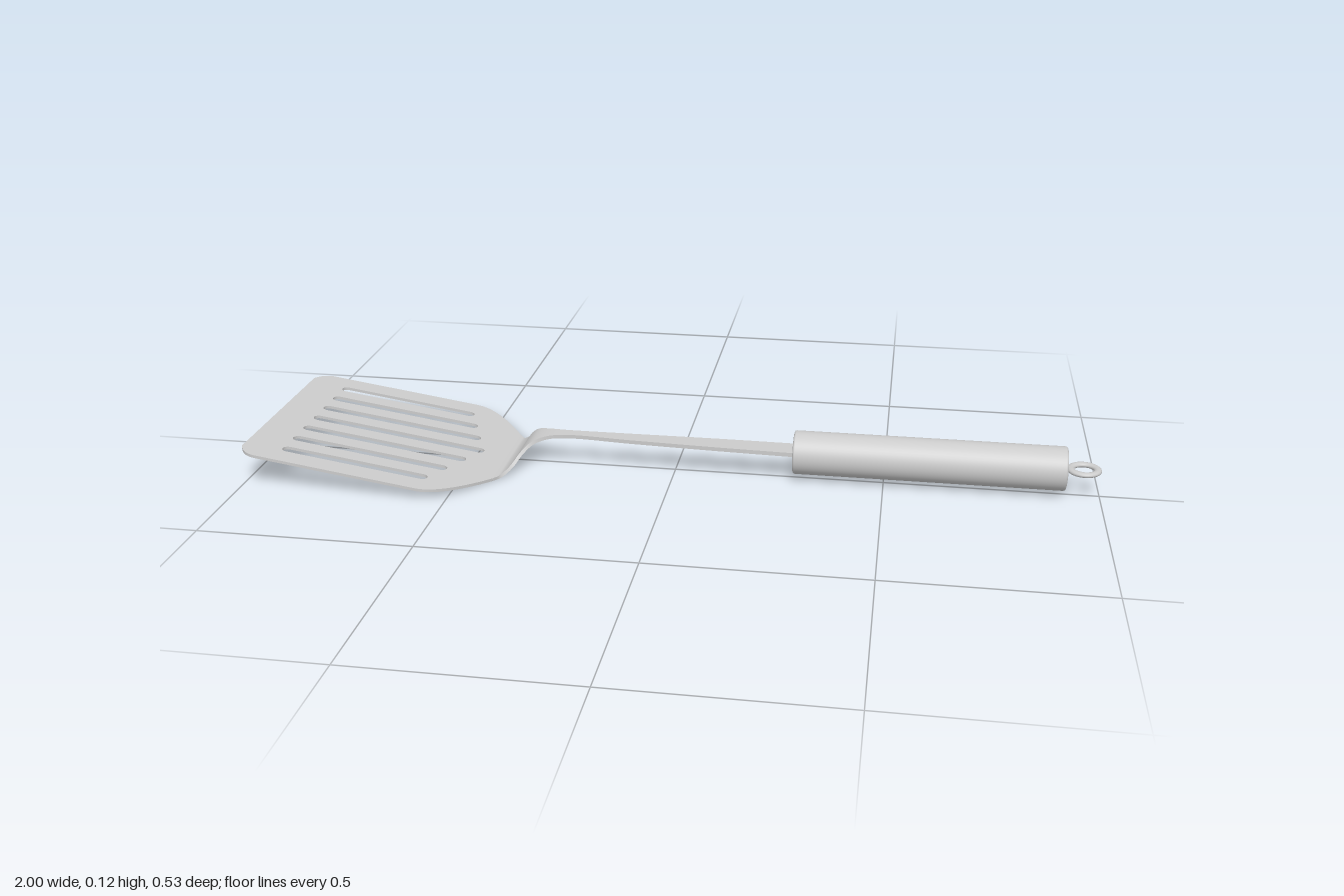
import * as THREE from 'three';

const T = 0.007; // sheet thickness
const JOIN = -0.42; // where the flat blade meets the bent neck
const HALF = 0.267; // half width of the blade

export function createModel() {
  const group = new THREE.Group();
  const metal = new THREE.MeshStandardMaterial({ color: 0xcccccc, side: THREE.DoubleSide });
  const add = (name, geometry, x = 0, y = 0) => {
    const mesh = new THREE.Mesh(geometry, metal);
    mesh.name = name;
    mesh.position.set(x, y, 0);
    group.add(mesh);
    return mesh;
  };

  // Blade: rounded outline with seven long slots, tilted up towards its front edge
  const outline = new THREE.Shape();
  outline.moveTo(JOIN, -0.137);
  outline.lineTo(JOIN, 0.137);
  outline.quadraticCurveTo(-0.511, HALF, -0.57, HALF);
  outline.lineTo(-0.955, HALF);
  outline.quadraticCurveTo(-0.985, HALF, -1, 0.23);
  outline.lineTo(-1, -0.23);
  outline.quadraticCurveTo(-0.985, -HALF, -0.955, -HALF);
  outline.lineTo(-0.57, -HALF);
  outline.quadraticCurveTo(-0.511, -HALF, JOIN, -0.137);

  const r = 0.0135;
  const slotEnds = [-0.478, -0.505, -0.532, -0.56];
  for (let i = -3; i <= 3; i++) {
    const z = i * 0.067;
    const slot = new THREE.Path();
    slot.absarc(-0.912 + r, z, r, Math.PI / 2, Math.PI * 1.5, false);
    slot.absarc(slotEnds[Math.abs(i)] - r, z, r, -Math.PI / 2, Math.PI / 2, false);
    slot.closePath();
    outline.holes.push(slot);
  }
  const blade = new THREE.ExtrudeGeometry(outline, { depth: T, bevelEnabled: false, curveSegments: 16 });
  blade.rotateX(-Math.PI / 2);
  const bp = blade.attributes.position;
  for (let i = 0; i < bp.count; i++) bp.setY(i, bp.getY(i) + (JOIN - bp.getX(i)) * 0.148);
  blade.computeVertexNormals();
  add('blade', blade);

  // Neck: a strip swept along its bend; each point holds x, height and half width
  const path = new THREE.CatmullRomCurve3([
    [JOIN, 0.0035, 0.137], [-0.405, 0.005, 0.117], [-0.385, 0.02, 0.092],
    [-0.365, 0.046, 0.066], [-0.345, 0.063, 0.045], [-0.315, 0.072, 0.026],
    [-0.27, 0.075, 0.016], [-0.1, 0.073, 0.021], [0.1, 0.071, 0.027], [0.3, 0.069, 0.03],
  ].map((p) => new THREE.Vector3(...p)));
  const neck = new THREE.BoxGeometry(1, 1, 1, 72, 1, 8);
  const np = neck.attributes.position;
  for (let i = 0; i < np.count; i++) {
    const u = np.getX(i) + 0.5;
    const p = path.getPoint(u);
    const t = path.getTangent(u);
    const len = Math.hypot(t.x, t.y);
    const h = np.getY(i) * (T + 0.003 * u);
    np.setXYZ(i, p.x - (t.y / len) * h, Math.max(0, p.y + (t.x / len) * h), np.getZ(i) * 2 * p.z);
  }
  neck.computeVertexNormals();
  add('neck', neck);

  // Handle: round grip with softened rims and slightly sunken end caps
  const profile = [
    [0, 0.004], [0.038, 0.004], [0.041, 0], [0.047, 0], [0.0505, 0.0015], [0.052, 0.005],
    [0.052, 0.63], [0.0505, 0.6335], [0.047, 0.635], [0.041, 0.635], [0.038, 0.631], [0, 0.631],
  ].map(([x, y]) => new THREE.Vector2(x, y));
  const grip = new THREE.LatheGeometry(profile, 48);
  grip.rotateZ(-Math.PI / 2);
  add('handle', grip, 0.285, 0.065);

  // Hanging ring, lying flat at the end of the handle
  const ring = new THREE.TorusGeometry(0.031, 0.009, 14, 40);
  ring.rotateX(Math.PI / 2);
  ring.scale(1, 0.68, 1);
  add('hangingRing', ring, 0.96, 0.065);

  const stem = new THREE.CylinderGeometry(0.006, 0.006, 0.022, 16);
  stem.rotateZ(Math.PI / 2);
  add('ringStem', stem, 0.92, 0.065);

  return group;
}
